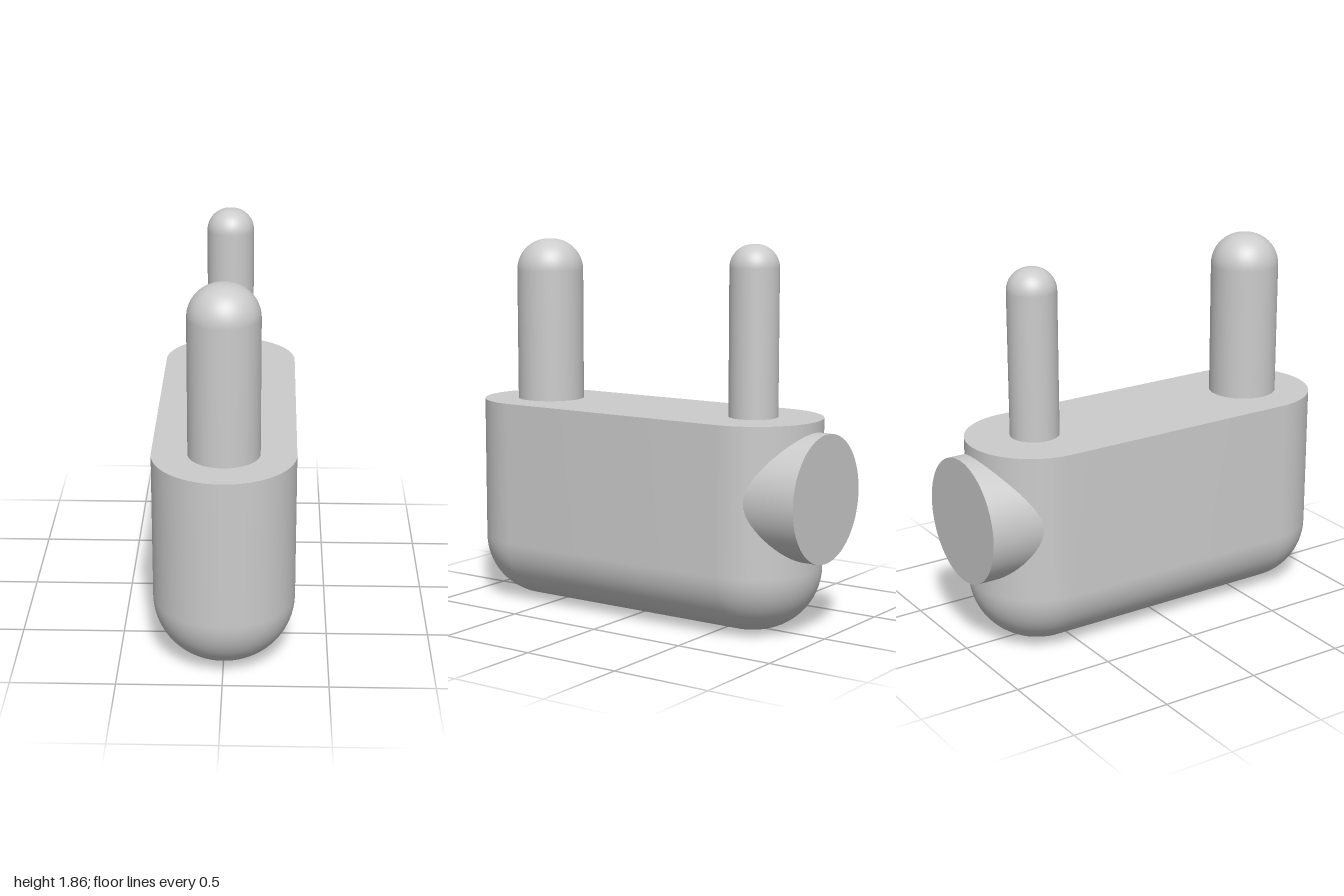
import * as THREE from 'three';

const TOP = 1.035;    // height of the block's flat top
const R = 0.34;       // half width of the block
const MID_Z = 0.035;  // centre of the block along z
const HALF = 0.625;   // from the middle to the centre of each rounded end
const SEG = 96;

const material = new THREE.MeshStandardMaterial({ color: 0xcccccc });

function add(parent, name, geometry) {
  const mesh = new THREE.Mesh(geometry, material);
  mesh.name = name;
  parent.add(mesh);
  return mesh;
}

// Quarter-circle profile points round (cx, cy), from angle a to a + 90 degrees
function arc(cx, cy, r, a, steps = 16) {
  return Array.from({ length: steps + 1 }, (_, i) => {
    const t = a + (i / steps) * Math.PI / 2;
    return new THREE.Vector2(cx + r * Math.cos(t), cy + r * Math.sin(t));
  });
}

// Turned shape pulled apart along z, giving a plan with two round ends
function stretchedLathe(points) {
  const geo = new THREE.LatheGeometry(points, SEG, Math.PI / SEG);
  const pos = geo.attributes.position;
  for (let i = 0; i < pos.count; i++) {
    const phi = Math.PI / SEG + Math.floor(i / points.length) * 2 * Math.PI / SEG;
    pos.setZ(i, pos.getZ(i) + MID_Z + Math.sign(Math.cos(phi)) * HALF);
  }
  return geo;
}

// Upright pin with a domed end
function pin(parent, name, z, r, fillet, height) {
  const profile = [
    new THREE.Vector2(r, TOP),
    ...arc(r - fillet, height - fillet, fillet, 0),
    new THREE.Vector2(0, height),
  ];
  add(parent, name, new THREE.LatheGeometry(profile, 64)).position.z = z;
}

export function createModel() {
  const model = new THREE.Group();
  model.name = 'pinBlock';

  // Block with straight walls and a rounded underside
  const block = new THREE.Group();
  block.name = 'block';
  model.add(block);
  const fillet = 0.31;
  add(block, 'blockBody', stretchedLathe([
    new THREE.Vector2(0, 0),
    ...arc(R - fillet, fillet, fillet, -Math.PI / 2),
    new THREE.Vector2(R, TOP),
  ]));
  add(block, 'blockTop', stretchedLathe([new THREE.Vector2(R, TOP), new THREE.Vector2(0, TOP)]));

  // Thick front pin and thin back pin
  pin(model, 'frontPin', 0.655, 0.17, 0.16, 1.86);
  pin(model, 'backPin', -0.59, 0.12, 0.112, 1.86);

  // Round boss on the back, its inner edge following the block's curved end
  const boss = new THREE.Group();
  boss.name = 'backBoss';
  boss.position.y = 0.675;
  model.add(boss);
  const bossR = 0.31;
  const wall = new THREE.CylinderGeometry(bossR, bossR, 2, 72, 1, true).rotateX(-Math.PI / 2);
  const pos = wall.attributes.position;
  for (let i = 0; i < pos.count; i++) {
    const x = pos.getX(i);
    const inner = MID_Z - HALF - Math.sqrt(R * R - x * x) + 0.005;
    pos.setZ(i, pos.getZ(i) < 0 ? -1 : inner);
  }
  add(boss, 'bossWall', wall);
  add(boss, 'bossFace', new THREE.CircleGeometry(bossR, 72).rotateY(Math.PI)).position.z = -1;

  return model;
}
